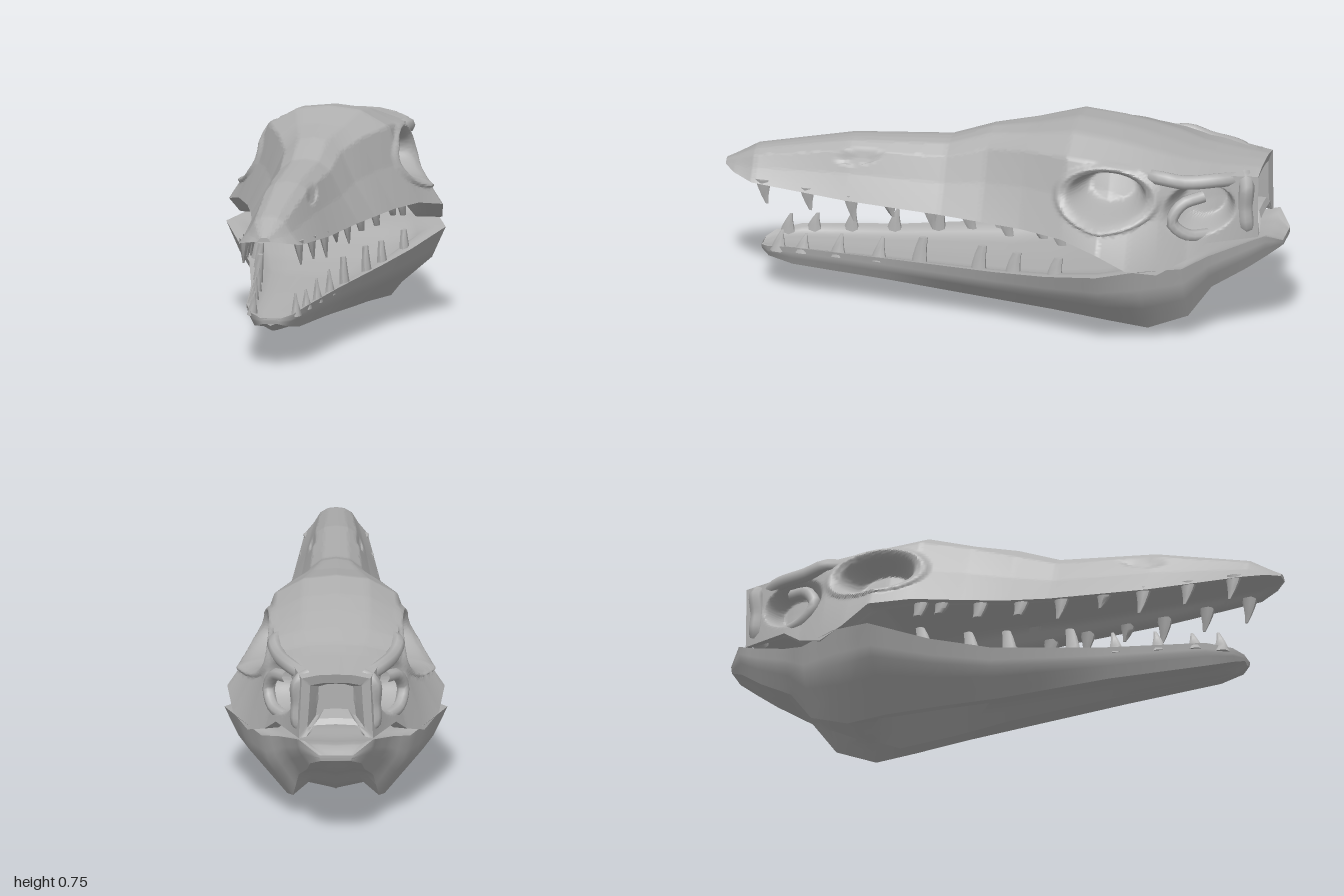
import * as THREE from 'three';
import { toCreasedNormals } from 'three/addons/utils/BufferGeometryUtils.js';

const mix = (a, b, t) => a + (b - a) * t;

// Lofts mirrored half-sections. Each section is { z, pts: [[x, y], ...] } running
// from the top centre, down the outside, to the bottom centre.
function loft(sections, divisions, step, deform) {
  const pos = [], index = [];
  const n = 2 * divisions.reduce((sum, d) => sum + d, 0);
  let rows = 0;
  const addRow = (a, b, t) => {
    const half = [];
    const z = mix(a.z, b.z, t);
    const pts = a.pts.map((p, i) => [mix(p[0], b.pts[i][0], t), mix(p[1], b.pts[i][1], t)]);
    divisions.forEach((d, i) => {
      for (let k = 0; k < d; k++) {
        half.push([mix(pts[i][0], pts[i + 1][0], k / d), mix(pts[i][1], pts[i + 1][1], k / d), z, i]);
      }
    });
    half.push([...pts[pts.length - 1], z, pts.length - 1]);
    if (deform) half.forEach(deform);
    for (const p of half) pos.push(p[0], p[1], p[2]);
    for (let i = half.length - 2; i > 0; i--) pos.push(-half[i][0], half[i][1], half[i][2]);
    rows++;
  };
  for (let s = 0; s < sections.length - 1; s++) {
    const a = sections[s], b = sections[s + 1];
    const steps = Math.ceil(Math.abs(a.z - b.z) / step);
    for (let k = 0; k < steps; k++) addRow(a, b, k / steps);
  }
  const last = sections[sections.length - 1];
  addRow(last, last, 0);
  for (let r = 0; r < rows - 1; r++) {
    for (let i = 0; i < n; i++) {
      const a = r * n + i, b = r * n + (i + 1) % n;
      index.push(a, b, a + n, b, b + n, a + n);
    }
  }
  // End caps, joining each point to its mirror image
  for (const [o, front] of [[0, true], [(rows - 1) * n, false]]) {
    for (let i = 0; i < n / 2; i++) {
      const a = o + i, b = o + i + 1, c = o + (n - i - 1) % n, d = o + (n - i) % n;
      if (front) index.push(a, d, b, b, d, c);
      else index.push(a, b, d, b, c, d);
    }
  }
  const g = new THREE.BufferGeometry();
  g.setAttribute('position', new THREE.Float32BufferAttribute(pos, 3));
  g.setIndex(index);
  return toCreasedNormals(g, 0.8);
}

// Cranium: z, top y, roof x, roof y, lip x, lip y
const SKULL = [
  [1.0, .475, .015, .472, .025, .46],
  [.96, .495, .03, .488, .07, .45],
  [.89, .535, .055, .515, .11, .435],
  [.55, .605, .075, .575, .15, .415],
  [.2, .63, .09, .59, .19, .41],
  [.05, .685, .10, .635, .22, .41],
  [-.1, .71, .15, .665, .26, .415],
  [-.26, .75, .215, .68, .32, .415],
  [-.4, .735, .22, .67, .38, .39],
  [-.5, .715, .22, .66, .36, .33],
  [-.6, .69, .215, .65, .31, .305],
  [-.69, .665, .18, .64, .25, .345],
  [-.76, .655, .165, .64, .21, .40],
  [-.925, .645, .12, .63, .13, .405],
  [-.915, .61, .09, .60, .10, .44],
  [-.85, .58, .06, .57, .07, .46],
];

// Lower jaw: z, floor y, rim x, rim y, keel x, keel y, middle y
const JAW = [
  [.87, .163, .035, .17, .025, .15, .143],
  [.84, .165, .075, .182, .055, .138, .122],
  [.75, .17, .108, .20, .08, .125, .11],
  [.4, .18, .155, .21, .11, .11, .09],
  [0, .19, .235, .23, .13, .08, .05],
  [-.2, .21, .305, .26, .15, .07, .02],
  [-.4, .25, .39, .31, .17, .055, 0],
  [-.54, .29, .34, .325, .17, .04, .06],
  [-.68, .31, .26, .315, .15, .09, .13],
  [-.76, .33, .20, .345, .13, .20, .20],
  [-.88, .37, .15, .385, .10, .27, .26],
  [-.95, .385, .13, .41, .09, .32, .31],
  [-1.0, .36, .06, .37, .05, .35, .35],
];

// Section rules: the sides bulge between roof and lip, the palate arches up
const skullSection = ([z, ty, rx, ry, lx, ly]) => ({
  z, pts: [[0, ty], [rx * .52, mix(ty, ry, .18)], [rx, ry], [mix(rx, lx, .4), mix(ry, ly, .47)],
    [lx, ly], [lx * .8, ly + .005], [lx * .6, mix(ly, ty, .2)], [0, mix(ly, ty, .22)]],
});
// Dished floor, bulging sides, and a groove between each side keel and the middle one
const jawSection = ([z, fy, rx, ry, kx, ky, my]) => ({
  z, pts: [[0, fy], [rx * .65, fy + .005], [rx * .84, ry - .006], [rx, ry], [mix(rx, kx, .22), mix(ry, ky, .42)],
    [kx, ky], [kx * .58, Math.max(ky, my) + Math.max(0, kx - .08) * .25], [0, my]],
});

// Presses eye sockets, temple openings and nostrils into the cranium
function pressOpenings(p) {
  const [x, y, z, part] = p;
  if (part < 1 || part > 3) return;
  const eye = Math.hypot((z + .41) / .155, (y - .56) / .09);
  if (eye < 1) p[0] -= .13 * THREE.MathUtils.smoothstep(1 - eye, 0, .5);
  else if (eye < 1.25) p[0] += .012 * Math.sin((eye - 1) / .25 * Math.PI);
  const temple = Math.hypot((z + .73) / .125, (y - .52) / .095);
  if (temple < 1) p[0] -= .1 * THREE.MathUtils.smoothstep(1 - temple, 0, .45);
  const nostril = Math.hypot((z - .51) / .1, (x - .082) / .014);
  if (nostril < 1) p[1] -= .022 * THREE.MathUtils.smoothstep(1 - nostril, 0, .7);
}

// Value of one column of a section table at a given z
function sample(table, z, col) {
  const i = table.findIndex((r, k) => k > 0 && r[0] <= z);
  const a = table[i - 1], b = table[i];
  return mix(a[col], b[col], (a[0] - z) / (a[0] - b[0]));
}

export function createModel() {
  const model = new THREE.Group();
  const bone = new THREE.MeshStandardMaterial({ color: 0xb0b0b0 });
  bone.name = 'bone grey';
  const add = (name, geometry) => {
    const mesh = new THREE.Mesh(geometry, bone);
    mesh.name = name;
    model.add(mesh);
    return mesh;
  };

  add('cranium', loft(SKULL.map(skullSection), [5, 8, 26, 26, 2, 3, 4], .009, pressOpenings));
  add('lowerJaw', loft(JAW.map(jawSection), [3, 2, 2, 3, 3, 2, 2], .05));

  // Tapered tooth with a backward-bent tip; dir is -1 for upper teeth, 1 for lower
  const tooth = (name, side, x, y, z, length, dir, blunt) => {
    const sink = .014, height = length + sink;
    const g = new THREE.CylinderGeometry(blunt ? .016 : .005, .03, height, 7, 3);
    const p = g.attributes.position;
    for (let i = 0; i < p.count; i++) {
      const t = p.getY(i) / height + .5;
      p.setXYZ(i, p.getX(i) * .65, t * height - sink, p.getZ(i) - .014 * t * t * dir);
    }
    const m = add(name, toCreasedNormals(g, 1));
    m.position.set(side * x, y, z);
    if (dir < 0) m.rotation.x = Math.PI;
    m.rotation.z = side * .08 * dir;
  };
  // Teeth: z, length
  const upper = [[.85, .075], [.69, .07], [.53, .08], [.39, .045], [.24, .07], [.1, .045], [-.04, .05], [-.17, .035], [-.24, .045]];
  const lower = [[.8, .065], [.71, .055], [.58, .07], [.43, .075], [.28, .09], [.06, .085], [-.07, .07], [-.23, .06]];
  for (const side of [1, -1]) {
    for (const [z, len] of upper)
      tooth('upperTooth', side, sample(SKULL, z, 4) * .84, sample(SKULL, z, 5), z, len, -1, z < .15);
    for (const [z, len] of lower)
      tooth('lowerTooth', side, sample(JAW, z, 2) * .86, sample(JAW, z, 3) - .006, z, len, 1, z < .35);

    // Curved bone inside the temple opening, and the bars behind and above it
    const tube = (name, pts, r) => {
      const curve = new THREE.CatmullRomCurve3(pts.map(([x, y, z]) => new THREE.Vector3(side * x, y, z)));
      add(name, new THREE.TubeGeometry(curve, 14, r, 8, false));
    };
    tube('templeBone', [[.17, .56, -.74], [.215, .54, -.67], [.235, .48, -.64], [.22, .43, -.69], [.17, .42, -.77]], .022);
    tube('rearBar', [[.09, .62, -.87], [.13, .60, -.885], [.13, .52, -.88], [.13, .45, -.885], [.09, .42, -.88]], .028);
    tube('templeArch', [[.18, .63, -.52], [.215, .635, -.6], [.20, .62, -.68], [.155, .62, -.79], [.09, .61, -.87]], .026);
  }
  return model;
}
